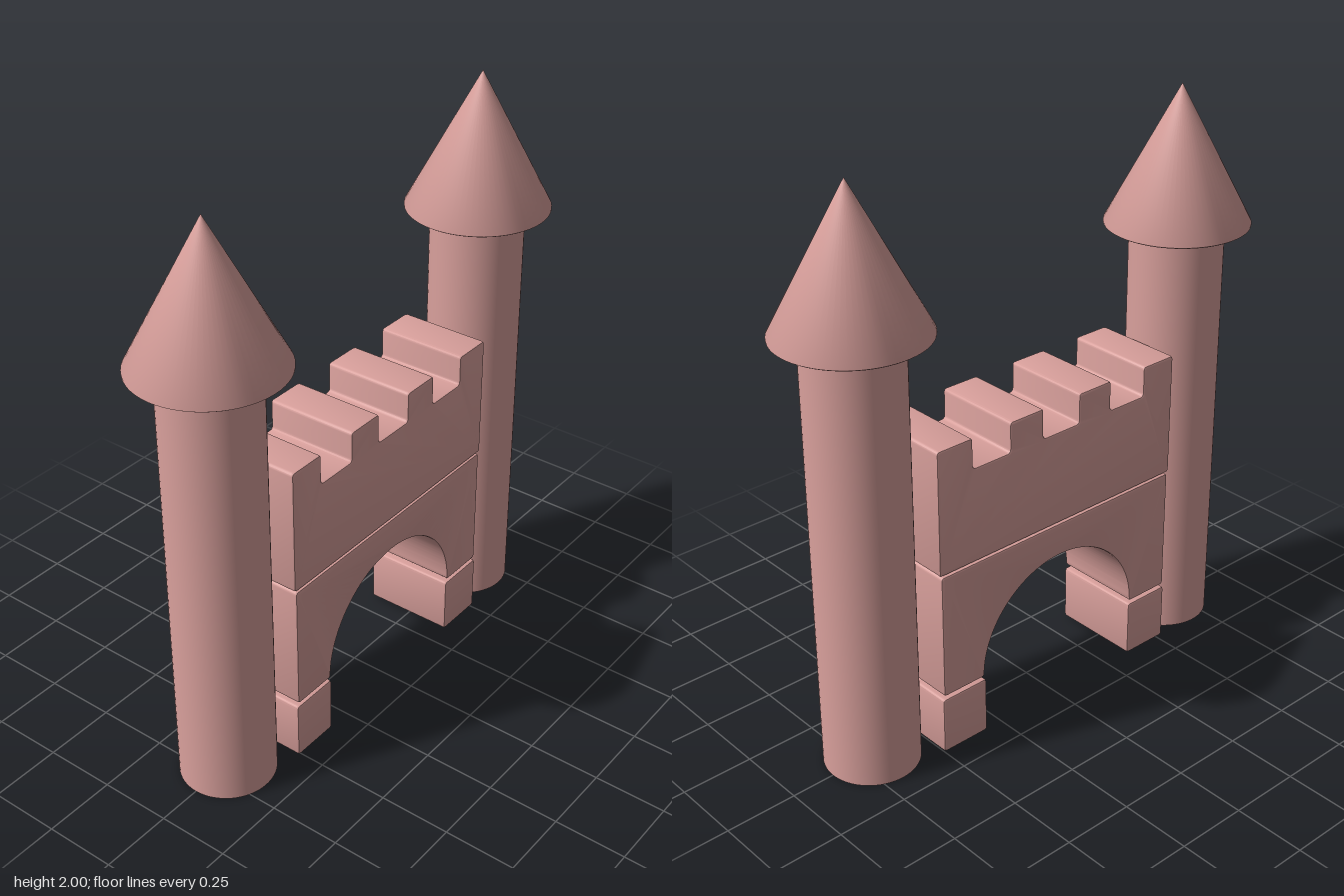
import * as THREE from 'three';
import { toCreasedNormals } from 'three/addons/utils/BufferGeometryUtils.js';

const material = new THREE.MeshStandardMaterial({ color: 0xd9a09c });
const BEVEL = 0.008, ROUND = 0.012;
const X_MIN = -0.162, X_MAX = 0.166;

function addMesh(parent, name, geometry) {
  const mesh = new THREE.Mesh(geometry, material);
  mesh.name = name;
  parent.add(mesh);
  return mesh;
}

// Closed outline with every corner slightly rounded
function roundedShape(points) {
  const shape = new THREE.Shape();
  const n = points.length;
  points.forEach((p, i) => {
    const toPrev = points[(i + n - 1) % n].clone().sub(p).setLength(ROUND).add(p);
    const toNext = points[(i + 1) % n].clone().sub(p).setLength(ROUND).add(p);
    if (i === 0) shape.moveTo(toPrev.x, toPrev.y);
    else shape.lineTo(toPrev.x, toPrev.y);
    shape.quadraticCurveTo(p.x, p.y, toNext.x, toNext.y);
  });
  shape.closePath();
  return shape;
}

// Block with a (z, y) outline, running through the thickness of the gate
function block(outline) {
  const points = outline.map(([z, y]) => new THREE.Vector2(z, y));
  const geometry = new THREE.ExtrudeGeometry(roundedShape(points), {
    depth: X_MAX - X_MIN - 2 * BEVEL, curveSegments: 3,
    bevelThickness: BEVEL, bevelSize: BEVEL, bevelOffset: -BEVEL, bevelSegments: 2,
  });
  geometry.rotateY(-Math.PI / 2);
  geometry.translate(X_MAX - BEVEL, 0, 0);
  return toCreasedNormals(geometry, 0.6);
}

export function createModel() {
  const model = new THREE.Group();
  model.name = 'castleGate';

  // Round towers with pointed roofs
  for (const side of [1, -1]) {
    const tower = new THREE.Group();
    tower.name = side > 0 ? 'frontTower' : 'backTower';
    tower.position.z = side * 0.684;
    const shaft = addMesh(tower, 'towerShaft', new THREE.CylinderGeometry(0.162, 0.162, 1.51, 64));
    shaft.position.y = 0.755;
    const profile = [[0, 1.518], [0.243, 1.518], [0.249, 1.522], [0.249, 1.528], [0, 2]]
      .map(([r, y]) => new THREE.Vector2(r, y));
    addMesh(tower, 'towerRoof', toCreasedNormals(new THREE.LatheGeometry(profile, 64), 0.5));
    model.add(tower);
  }

  // Square feet under the arch
  const feet = [['frontFoot', 0.34, 0.518], ['backFoot', -0.507, -0.322]];
  for (const [name, z0, z1] of feet) {
    addMesh(model, name, block([[z0, 0.008], [z1, 0.008], [z1, 0.215], [z0, 0.215]]));
  }

  // Arch with a semicircular opening
  const arch = [[0.513, 0.228], [0.513, 0.68], [-0.502, 0.68], [-0.502, 0.228]];
  const steps = 32, radius = 0.337;
  for (let i = 0; i <= steps; i++) {
    const a = Math.PI * (1 - i / steps);
    arch.push([0.007 + radius * Math.cos(a), 0.228 + (0.56 - 0.228) * Math.sin(a)]);
  }
  addMesh(model, 'archway', block(arch));

  // Upper wall with four battlements
  const wall = [[-0.508, 0.686], [0.519, 0.686]];
  const battlements = [[0.519, 0.38], [0.228, 0.085], [-0.07, -0.212], [-0.365, -0.508]];
  battlements.forEach(([z1, z0], i) => {
    if (i > 0) wall.push([z1, 1.023]);
    wall.push([z1, 1.13], [z0, 1.13]);
    if (i < battlements.length - 1) wall.push([z0, 1.023]);
  });
  addMesh(model, 'battlementWall', block(wall));

  return model;
}
